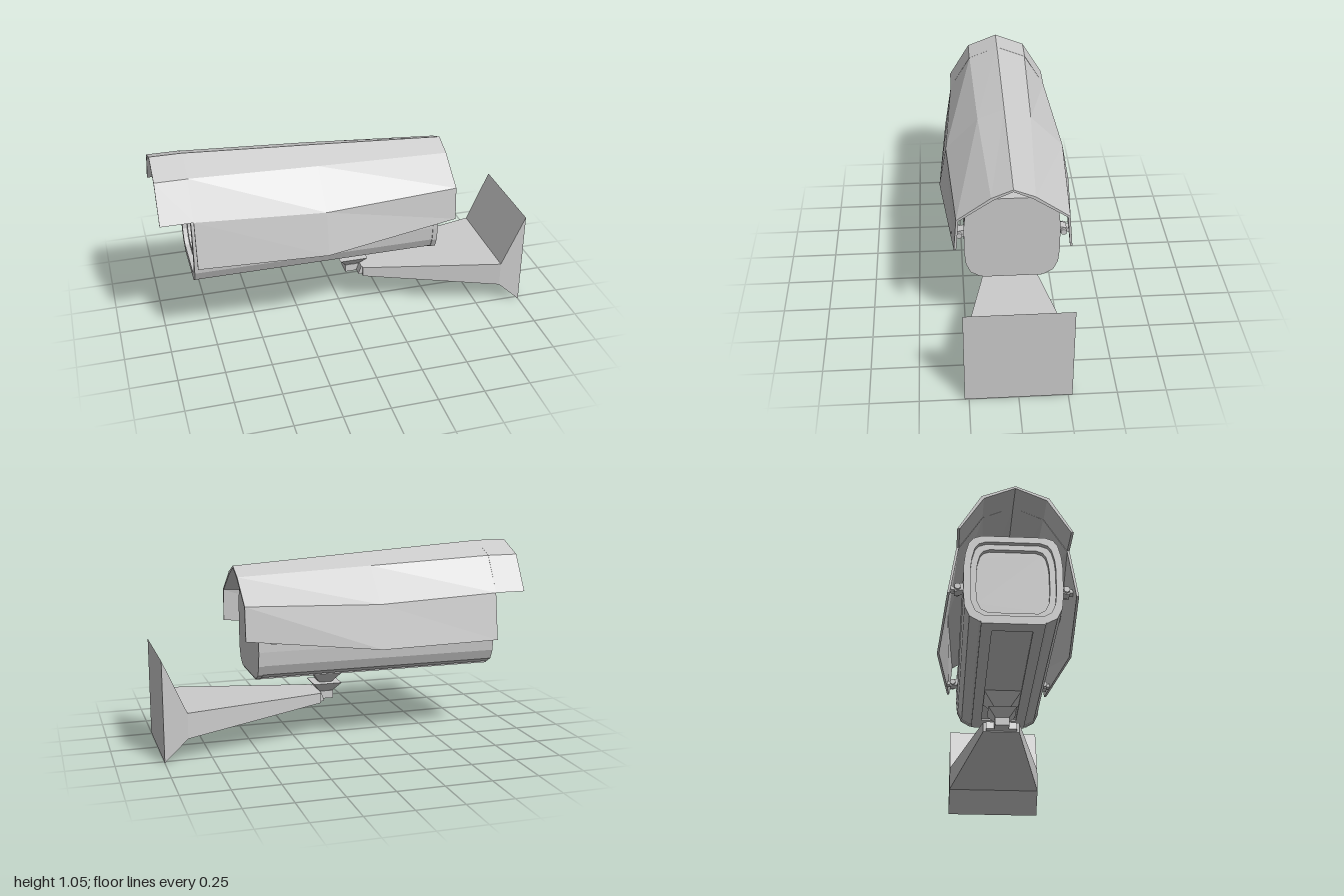
import * as THREE from 'three';

const material = new THREE.MeshStandardMaterial({ color: 0xcccccc, flatShading: true });

function addMesh(parent, name, geometry) {
  const mesh = new THREE.Mesh(geometry, material);
  mesh.name = name;
  parent.add(mesh);
  return mesh;
}

// Skin a row of [x, ring] sections; each ring holds [z, y] corners running -z, top, +z.
function loft(sections) {
  const pos = [];
  const n = sections[0][1].length;
  const put = (i, j) => {
    const [x, ring] = sections[i];
    pos.push(x, ring[j][1], ring[j][0]);
  };
  for (let i = 0; i < sections.length - 1; i++) {
    for (let j = 0; j < n; j++) {
      const k = (j + 1) % n;
      put(i, j); put(i, k); put(i + 1, k);
      put(i, j); put(i + 1, k); put(i + 1, j);
    }
  }
  const last = sections.length - 1;
  for (const end of [0, last]) {
    const outline = sections[end][1].map(([z, y]) => new THREE.Vector2(-z, y));
    for (const [a, b, c] of THREE.ShapeUtils.triangulateShape(outline, [])) {
      put(end, a);
      put(end, end ? b : c);
      put(end, end ? c : b);
    }
  }
  const geometry = new THREE.BufferGeometry();
  geometry.setAttribute('position', new THREE.Float32BufferAttribute(pos, 3));
  geometry.computeVertexNormals();
  return geometry;
}

const mirrorRing = (half) => [
  ...half.map(([z, y]) => [-z, y]).reverse(),
  ...half,
];

const rect = (w, y0, y1) => [[-w, y0], [-w, y1], [w, y1], [w, y0]];

// Thin bent-sheet section: half profile runs from the ridge down to the hem.
function sheet(half) {
  const t = 0.012;
  const whole = (p) => [...p.slice(1).map(([z, y]) => [-z, y]).reverse(), ...p];
  const inner = half.map(([z, y], i) => [
    Math.max(0, z - t),
    i === half.length - 1 ? y : y - t * (i < 2 ? 1 : 0.4),
  ]);
  return [...whole(half), ...whole(inner).reverse()];
}

// Square block narrowing or widening between two heights
function taperBlock(x, yTop, halfTop, yBottom, halfBottom) {
  const g = new THREE.CylinderGeometry(halfTop * Math.SQRT2, halfBottom * Math.SQRT2, yTop - yBottom, 4);
  return g.rotateY(Math.PI / 4).translate(x, (yTop + yBottom) / 2, 0);
}

export function createModel() {
  const model = new THREE.Group();
  model.name = 'securityCamera';

  // Housing with a stepped window recess in its -x end
  const profile = mirrorRing([
    [0.155, 0.86], [0.198, 0.845], [0.22, 0.815], [0.236, 0.755], [0.243, 0.69],
    [0.243, 0.54], [0.236, 0.465], [0.212, 0.412], [0.165, 0.385],
  ]);
  const scaled = (s) => profile.map(([z, y]) => [z * s, 0.62 + (y - 0.62) * s]);
  addMesh(model, 'housing', loft([
    [-0.79, scaled(0.74)], [-0.815, scaled(0.74)],
    [-0.815, scaled(0.86)], [-0.84, scaled(0.86)],
    [-0.84, profile], [0.49, profile],
  ]));
  addMesh(model, 'rearCap', loft([
    [0.465, scaled(1.015)], [0.492, scaled(1.015)],
  ]));

  // Underside plate with a long shallow opening
  const plate = new THREE.Shape([
    [-0.84, -0.155], [0.49, -0.155], [0.49, 0.155], [-0.84, 0.155],
  ].map((p) => new THREE.Vector2(...p)));
  plate.holes.push(new THREE.Path([
    [-0.76, -0.1], [-0.76, 0.1], [0.38, 0.1], [0.38, -0.1],
  ].map((p) => new THREE.Vector2(...p))));
  addMesh(model, 'underPlate',
    new THREE.ExtrudeGeometry(plate, { depth: 0.013, bevelEnabled: false })
      .rotateX(Math.PI / 2).translate(0, 0.388, 0));

  // Sun shield: full-depth cover and the shorter visor ahead of it
  addMesh(model, 'sunShield', loft([
    [-0.83, sheet([[0, 1.05], [0.163, 0.985], [0.28, 0.795], [0.32, 0.54]])],
    [-0.15, sheet([[0, 1.01], [0.145, 0.955], [0.323, 0.775], [0.365, 0.54]])],
    [0.57, sheet([[0, 0.965], [0.11, 0.92], [0.285, 0.795], [0.3, 0.615]])],
  ]));
  const visor = sheet([[0, 1.05], [0.165, 0.985], [0.28, 0.795]]);
  addMesh(model, 'visor', loft([[-1, visor], [-0.83, visor]]));

  // Hinge lugs and pins joining the shield to the housing
  for (const x of [-0.73, 0.41]) {
    for (const side of [-1, 1]) {
      const hinge = new THREE.Group();
      hinge.name = 'shieldHinge';
      const lug = [[0.238, 0.6], [0.238, 0.64], [0.285, 0.63], [0.285, 0.59]];
      const ring = side > 0 ? lug : lug.map(([z, y]) => [-z, y]).reverse();
      addMesh(hinge, 'hingeLug', loft([[x - 0.025, ring], [x + 0.025, ring]]));
      addMesh(hinge, 'hingePin', new THREE.CylinderGeometry(0.016, 0.016, 0.08, 12)
        .rotateZ(Math.PI / 2).translate(x, 0.613, side * 0.27));
      addMesh(hinge, 'hingeTab', new THREE.BoxGeometry(0.04, 0.02, 0.035)
        .translate(x, 0.613, side * 0.292));
      model.add(hinge);
    }
  }

  // Swivel joint below the housing
  const joint = new THREE.Group();
  joint.name = 'swivelJoint';
  addMesh(joint, 'jointTop', taperBlock(0.07, 0.388, 0.105, 0.3, 0.035));
  addMesh(joint, 'jointCollar', taperBlock(0.068, 0.3, 0.078, 0.25, 0.037));
  addMesh(joint, 'jointFoot', taperBlock(0.068, 0.25, 0.04, 0.207, 0.04));
  model.add(joint);

  // Wall arm: tapered bar flaring into the wall plate
  addMesh(model, 'wallArm', loft([
    [0.115, rect(0.1, 0.2, 0.255)],
    [0.875, rect(0.27, 0.118, 0.255)],
    [1, rect(0.272, 0, 0.54)],
  ]));
  addMesh(model, 'armEnd', new THREE.BoxGeometry(0.02, 0.05, 0.17)
    .rotateZ(-0.35).translate(0.11, 0.23, 0));

  return model;
}
